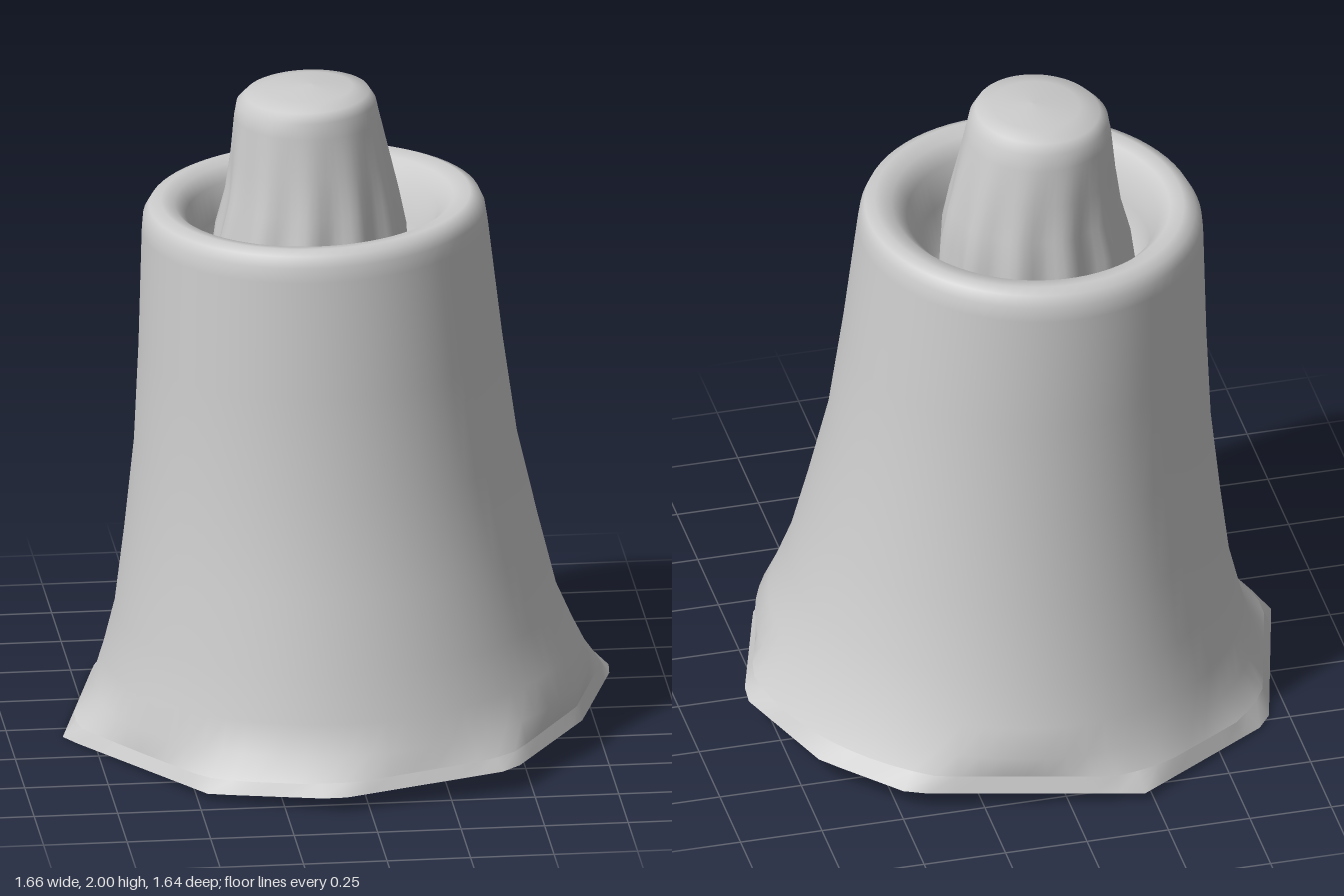
import * as THREE from 'three';

const SEGMENTS = 72;
const material = new THREE.MeshStandardMaterial({ color: 0xcccccc, side: THREE.DoubleSide });

// Corners of the uneven foot plate, as [x, z]
const CORNERS = [
  [0.83, -0.12], [0.69, 0.32], [0.44, 0.70], [-0.10, 0.82], [-0.47, 0.68],
  [-0.84, 0.08], [-0.68, -0.52], [-0.22, -0.83], [0.47, -0.71], [0.69, -0.49],
];

// Distance from the centre to the plate edge in direction a
function plateRadius(a) {
  const dx = Math.cos(a), dz = Math.sin(a);
  for (let i = 0; i < CORNERS.length; i++) {
    const [px, pz] = CORNERS[i];
    const [qx, qz] = CORNERS[(i + 1) % CORNERS.length];
    const s = px * dz - pz * dx, t = qx * dz - qz * dx;
    if (s >= 0 && t < 0) {
      const k = s / (s - t);
      return Math.hypot(px + k * (qx - px), pz + k * (qz - pz));
    }
  }
  return 0.8;
}

// Foot plate edge scaled by k; it leans up towards +x
function plateRing(k, lift = 0) {
  return (a) => {
    const r = plateRadius(a) * k;
    const x = r * Math.cos(a), z = r * Math.sin(a);
    return [x, 0.043 + lift + 0.051 * x + 0.008 * z, z];
  };
}

// Oval ring given by its extents, with a slope in x and optional scallops
function ovalRing([y, x0, x1, z0, z1, slope = 0, ripple = 0]) {
  return (a) => {
    const k = 1 + ripple * Math.cos(11 * a);
    const x = (x0 + x1) / 2 + (x1 - x0) / 2 * k * Math.cos(a);
    const z = (z0 + z1) / 2 + (z1 - z0) / 2 * k * Math.sin(a);
    return [x, y + slope * x, z];
  };
}

// Keeps a ring inside the foot plate outline
function insidePlate(ring) {
  return (a) => {
    const [x, y, z] = ring(a);
    const k = Math.min(1, 0.975 * plateRadius(Math.atan2(z, x)) / Math.hypot(x, z));
    return [x * k, y, z * k];
  };
}

// Smooth surface through a stack of rings
function loft(name, rings) {
  const positions = [], index = [];
  rings.forEach((ring, j) => {
    for (let i = 0; i < SEGMENTS; i++) {
      positions.push(...ring(i / SEGMENTS * Math.PI * 2));
      if (j === rings.length - 1) continue;
      const p = j * SEGMENTS + i, n = j * SEGMENTS + (i + 1) % SEGMENTS;
      index.push(p, p + SEGMENTS, n, n, p + SEGMENTS, n + SEGMENTS);
    }
  });
  const geometry = new THREE.BufferGeometry();
  geometry.setAttribute('position', new THREE.Float32BufferAttribute(positions, 3));
  geometry.setIndex(index);
  geometry.computeVertexNormals();
  const mesh = new THREE.Mesh(geometry, material);
  mesh.name = name;
  return mesh;
}

export function createModel() {
  const group = new THREE.Group();
  group.name = 'bell';

  // Flat closed underside
  group.add(loft('underside', [plateRing(0), plateRing(1)]));

  // Flared skirt, rolled rim and the well inside it
  const foot = insidePlate(ovalRing([0.085, -0.80, 0.79, -0.805, 0.785, 0.05]));
  const body = [
    [0.15, -0.735, 0.745, -0.765, 0.735, 0.05],
    [0.24, -0.705, 0.705, -0.735, 0.705, 0.04],
    [0.38, -0.67, 0.648, -0.685, 0.67, 0.03],
    [0.60, -0.642, 0.595, -0.64, 0.615, 0.02],
    [0.88, -0.612, 0.53, -0.593, 0.555, 0.02],
    [1.20, -0.597, 0.485, -0.57, 0.522, 0.02],
    [1.56, -0.587, 0.442, -0.547, 0.487, 0.03],
    [1.605, -0.583, 0.435, -0.54, 0.48, 0.03],
    [1.637, -0.565, 0.42, -0.52, 0.465, 0.03],
    [1.65, -0.53, 0.39, -0.49, 0.435, 0.03],
    [1.64, -0.49, 0.34, -0.44, 0.385, 0.03],
    [1.60, -0.455, 0.295, -0.40, 0.345, 0.02],
    [1.50, -0.43, 0.26, -0.365, 0.315],
    [1.38, -0.41, 0.23, -0.335, 0.29],
    [1.35, -0.36, 0.17, -0.28, 0.24],
    [1.35, -0.10, -0.10, -0.03, -0.03],
  ];
  group.add(loft('footLip', [plateRing(1), foot]));
  group.add(loft('bellBody', [foot, ...body.map(ovalRing)]));

  // Tapered knob with a scalloped hem
  const knob = [
    [1.36, -0.385, 0.195, -0.30, 0.265, 0, 0.05],
    [1.55, -0.36, 0.19, -0.295, 0.24, 0, 0.045],
    [1.66, -0.335, 0.172, -0.28, 0.222, 0, 0.03],
    [1.78, -0.322, 0.148, -0.268, 0.202, 0, 0.012],
    [1.90, -0.312, 0.122, -0.253, 0.184],
    [1.95, -0.305, 0.11, -0.24, 0.177, 0.02],
    [1.98, -0.28, 0.09, -0.22, 0.16, 0.04],
    [1.994, -0.22, 0.04, -0.16, 0.10, 0.03],
    [2.0, -0.08, -0.08, -0.03, -0.03],
  ];
  group.add(loft('knob', knob.map(ovalRing)));

  return group;
}
